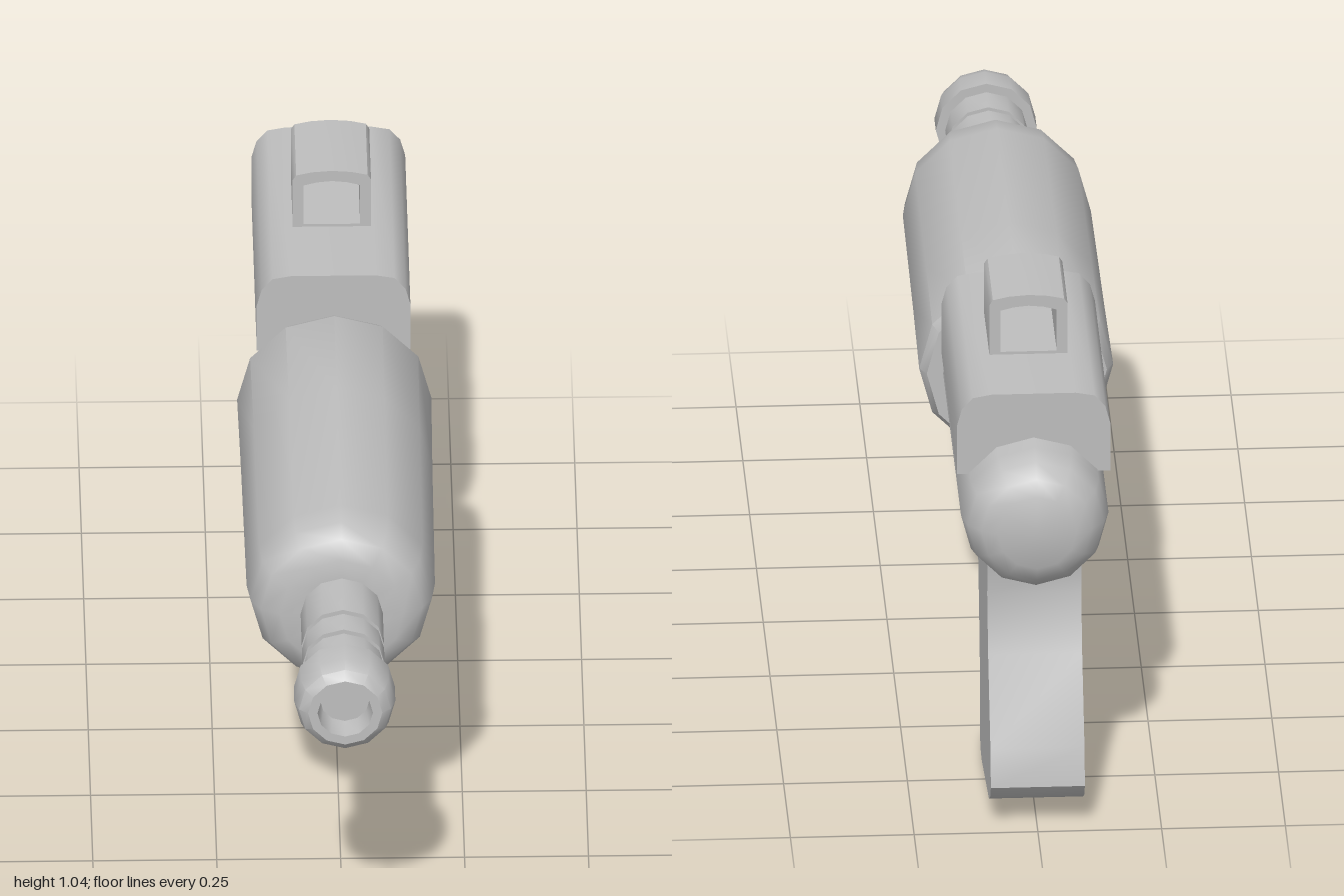
import * as THREE from 'three';
import { toCreasedNormals } from 'three/addons/utils/BufferGeometryUtils.js';

const AXIS_Y = 0.657; // height of the barrel axis
const CREASE = 0.7;

export function createModel() {
  const group = new THREE.Group();
  const grey = new THREE.MeshStandardMaterial({ color: 0xbebebe });
  grey.name = 'grey';

  const add = (name, geometry) => {
    const mesh = new THREE.Mesh(toCreasedNormals(geometry, CREASE), grey);
    mesh.name = name;
    group.add(mesh);
    return mesh;
  };

  // Twelve-sided turned part along z; profile is [z, radius] from back to front
  const turned = (name, profile) => {
    const points = profile.map(([z, r]) => new THREE.Vector2(r, z));
    const geometry = new THREE.LatheGeometry(points, 12).rotateX(Math.PI / 2);
    add(name, geometry).position.y = AXIS_Y;
  };

  const toShape = (points) => new THREE.Shape(points.map(([a, b]) => new THREE.Vector2(a, b)));

  // Side outline in [z, y], given a width across x
  const sidePlate = (name, outline, width, x = 0) => {
    const shape = toShape(outline.map(([z, y]) => [-z, y]));
    const geometry = new THREE.ExtrudeGeometry(shape, { depth: width, bevelEnabled: false });
    geometry.translate(0, 0, -width / 2).rotateY(Math.PI / 2);
    add(name, geometry).position.x = x;
  };

  // Front outline in [x, y], run from zBack to zFront
  const frontPrism = (name, shape, zBack, zFront) => {
    const geometry = new THREE.ExtrudeGeometry(shape, { depth: zFront - zBack, bevelEnabled: false });
    add(name, geometry.translate(0, 0, zBack));
  };

  // Mirrors the right half of an outline
  const mirrored = (half) => [
    ...half,
    ...half.filter(([x]) => x > 0).reverse().map(([x, y]) => [-x, y]),
  ];

  // Receiver with rounded back
  turned('receiver', [
    [-0.978, 0], [-0.976, 0.08], [-0.96, 0.112], [-0.93, 0.138], [-0.885, 0.149],
    [-0.2, 0.149],
  ]);

  // Thick sleeve around the barrel
  turned('barrelSleeve', [
    [-0.225, 0.14], [-0.225, 0.182], [-0.2, 0.196], [0.07, 0.193], [0.51, 0.19],
    [0.565, 0.183], [0.6, 0.163], [0.62, 0.125], [0.62, 0.07],
  ]);

  // Barrel with two grooves
  turned('barrel', [
    [0.6, 0.083], [0.74, 0.083], [0.74, 0.073], [0.755, 0.073], [0.755, 0.083],
    [0.815, 0.083], [0.815, 0.073], [0.83, 0.073], [0.83, 0.083], [0.91, 0.083],
  ]);

  // Muzzle ring with a shallow bore
  turned('muzzle', [
    [0.9, 0.07], [0.9, 0.102], [0.955, 0.102], [0.985, 0.093], [1, 0.075],
    [1, 0.056], [0.95, 0.05], [0.95, 0],
  ]);

  // Upper housing
  frontPrism('upperHousing', toShape(mirrored([
    [0.155, 0.728], [0.155, 0.835], [0.145, 0.872], [0.123, 0.897], [0.085, 0.904],
  ])), -0.84, -0.272);

  // Hollow sight
  const sight = toShape(mirrored([
    [0.079, 0.9], [0.079, 1.015], [0.072, 1.026], [0.04, 1.033], [0, 1.036],
  ]));
  sight.holes.push(new THREE.Path(mirrored([
    [0.057, 0.91], [0.057, 1.002], [0.03, 1.009], [0, 1.012],
  ]).map(([x, y]) => new THREE.Vector2(x, y))));
  frontPrism('sight', sight, -0.655, -0.46);

  // Grip
  sidePlate('grip', [
    [-0.5, 0.54], [-0.5, 0.48], [-0.535, 0.39], [-0.57, 0.28], [-0.6, 0.16],
    [-0.595, 0.045], [-0.605, 0.02], [-0.625, 0.005], [-0.66, 0], [-0.93, 0.043],
    [-0.975, 0.068], [-1, 0.1], [-0.985, 0.18], [-0.9, 0.35], [-0.866, 0.47], [-0.875, 0.54],
  ], 0.19);

  // Trigger
  sidePlate('trigger', [
    [-0.42, 0.53], [-0.42, 0.425], [-0.43, 0.405], [-0.455, 0.395], [-0.55, 0.395], [-0.53, 0.53],
  ], 0.05, -0.01);

  // Trigger guard strip
  sidePlate('triggerGuard', [
    [-0.27, 0.53], [-0.272, 0.44], [-0.286, 0.395], [-0.318, 0.366], [-0.37, 0.355], [-0.57, 0.355],
    [-0.57, 0.369], [-0.372, 0.369], [-0.325, 0.379], [-0.299, 0.402], [-0.287, 0.442], [-0.286, 0.53],
  ], 0.068, -0.01);

  return group;
}
